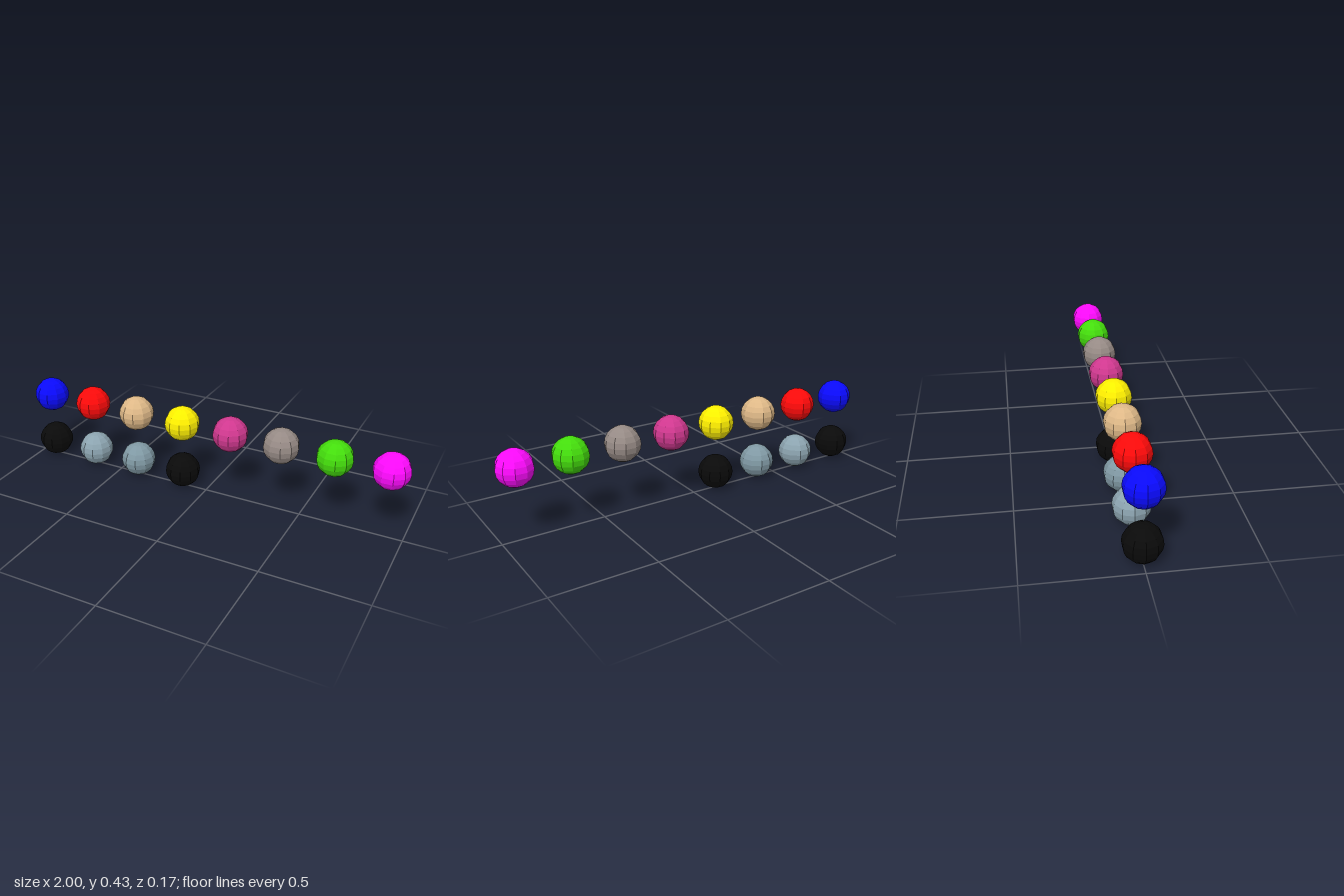
import * as THREE from 'three';

// Two rows of faceted balls, spaced one radius apart
const RADIUS = 2 / 23;
const STEP = RADIUS * 3;

const UPPER = [
  ['blueBall', 0x0a0aff], ['redBall', 0xff0a0a], ['tanBall', 0xdeb887], ['yellowBall', 0xfff000],
  ['pinkBall', 0xd0388f], ['greyBall', 0x968a85], ['greenBall', 0x44dd0c], ['magentaBall', 0xff0aff],
];
const LOWER = [
  ['blackBallRight', 0x0a0a0a], ['slateBallRight', 0x8ca4b0],
  ['slateBallLeft', 0x8099a4], ['blackBallLeft', 0x0a0a0a],
];

export function createModel() {
  const model = new THREE.Group();
  model.name = 'ballRows';
  const ball = new THREE.SphereGeometry(RADIUS, 10, 10);

  const addRow = (rowName, balls, y) => {
    const row = new THREE.Group();
    row.name = rowName;
    balls.forEach(([name, color], i) => {
      const material = new THREE.MeshStandardMaterial({ color, flatShading: true });
      const mesh = new THREE.Mesh(ball, material);
      mesh.name = name;
      mesh.position.set(-1 + RADIUS + i * STEP, y, 0);
      row.add(mesh);
    });
    model.add(row);
  };

  addRow('lowerRow', LOWER, RADIUS);
  addRow('upperRow', UPPER, RADIUS + STEP);
  return model;
}
